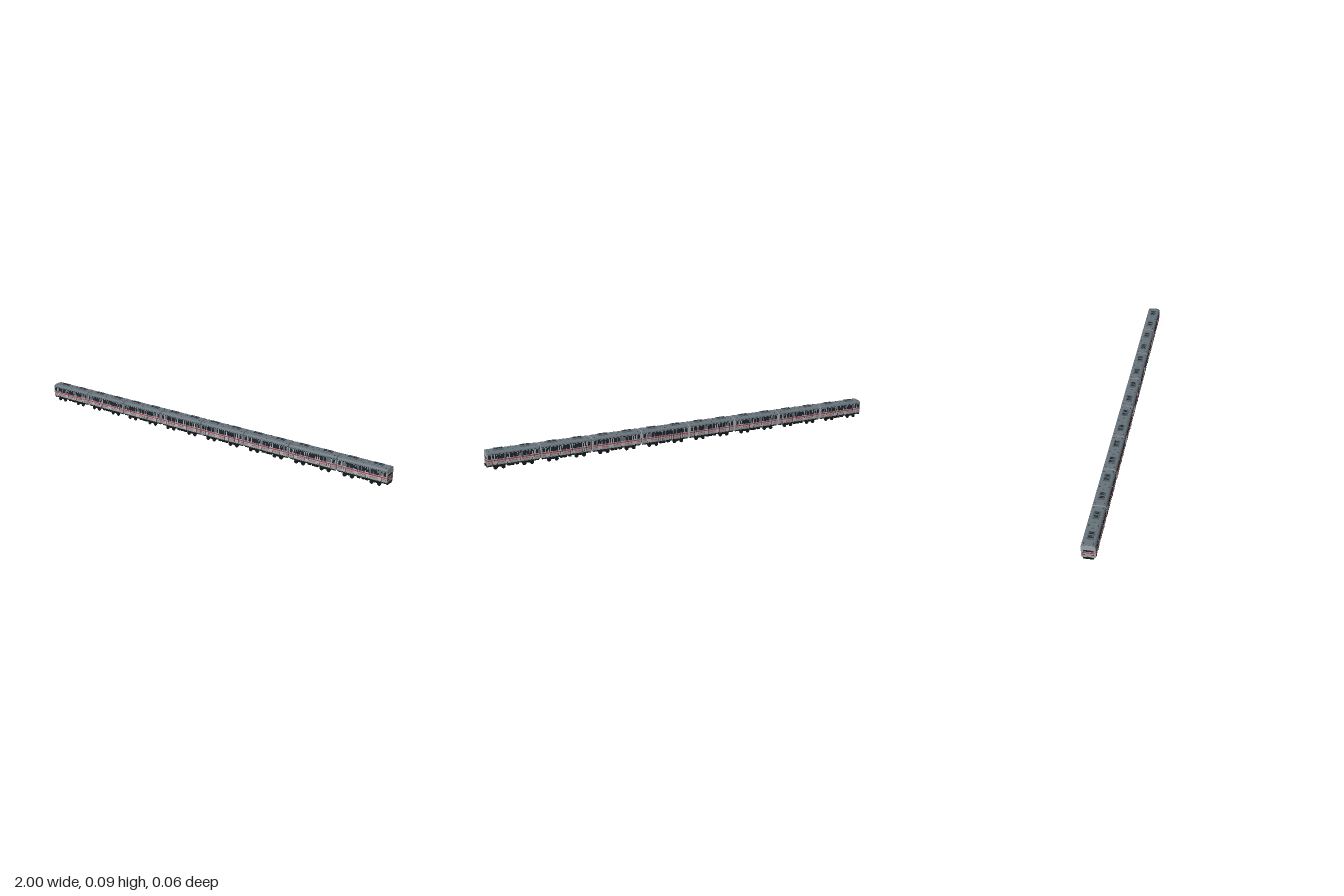
import * as THREE from 'three';

const mat = (color) => new THREE.MeshStandardMaterial({ color });
const M = {
  body: mat(0x9fa5a9), door: mat(0xb4b9bc), roof: mat(0x67727a), unit: mat(0x56616a),
  dark: mat(0x1b2026), glass: mat(0x1c2733), red: mat(0xc03038), under: mat(0x14171a),
};

const PITCH = 0.249, LEN = 0.242, HALF = LEN / 2, W = 0.031;

function add(parent, name, geometry, material, x = 0, y = 0, z = 0) {
  const m = new THREE.Mesh(geometry, material);
  m.name = name;
  m.position.set(x, y, z);
  parent.add(m);
  return m;
}
const box = (p, name, material, w, h, d, x, y, z) =>
  add(p, name, new THREE.BoxGeometry(w, h, d), material, x, y, z);

// Cross-section in (z, y) stretched along x
function prism(p, name, material, points, length) {
  const shape = new THREE.Shape(points.map(([a, b]) => new THREE.Vector2(a, b)));
  const g = new THREE.ExtrudeGeometry(shape, { depth: length, bevelEnabled: false });
  g.translate(0, 0, -length / 2).rotateY(Math.PI / 2);
  return add(p, name, g, material);
}
const mirrored = (half) => [...half, ...half.map(([a, b]) => [-a, b]).reverse()];

const bodyHalf = [[0.027, 0.019], [0.030, 0.022], [W, 0.03], [W, 0.072], [0.029, 0.079], [0.025, 0.083], [0.016, 0.0855]];
const roofOuter = [[0.0316, 0.0745], [0.0296, 0.0797], [0.0253, 0.0838], [0.016, 0.0863]];
const roofInner = [[0.0306, 0.0743], [0.0287, 0.079], [0.0247, 0.0828], [0.0158, 0.0853]];

function buildSide(car, s) {
  const side = new THREE.Group();
  side.name = s > 0 ? 'frontSide' : 'backSide';
  const z = s * W;
  box(side, 'redStripe', M.red, LEN - 0.004, 0.004, 0.001, 0, 0.045, z);
  box(side, 'lowerStripe', M.red, LEN - 0.004, 0.0015, 0.001, 0, 0.036, z);
  box(side, 'sill', M.dark, LEN - 0.004, 0.002, 0.004, 0, 0.022, s * 0.029);
  box(side, 'gutter', M.dark, LEN, 0.0015, 0.0012, 0, 0.0738, z);
  const doors = [-0.087, -0.029, 0.029, 0.087];
  for (const x of doors) {
    box(side, 'doorFrame', M.dark, 0.021, 0.047, 0.001, x, 0.0487, z);
    for (const k of [-1, 1]) {
      box(side, 'doorLeaf', M.door, 0.0092, 0.045, 0.0016, x + k * 0.005, 0.0485, z);
      box(side, 'doorWindow', M.glass, 0.0062, 0.018, 0.0022, x + k * 0.005, 0.061, z);
      box(side, 'doorStripe', M.red, 0.0092, 0.004, 0.002, x + k * 0.005, 0.045, z);
    }
  }
  // Windows between the doors, plus a small one at each end
  for (const x of [-0.058, 0, 0.058]) {
    box(side, 'windowBand', M.dark, 0.033, 0.021, 0.001, x, 0.061, z);
    for (const k of [-1, 1])
      box(side, 'window', M.glass, 0.0148, 0.018, 0.0016, x + k * 0.008, 0.061, z);
    box(side, 'windowPost', M.body, 0.001, 0.021, 0.002, x, 0.061, z);
  }
  for (const x of [-0.1095, 0.1095]) box(side, 'endWindow', M.glass, 0.012, 0.019, 0.0015, x, 0.061, z);
  car.add(side);
}

function buildBogie(car, x0) {
  const bogie = new THREE.Group();
  bogie.name = 'bogie';
  bogie.position.x = x0;
  box(bogie, 'bolster', M.under, 0.018, 0.007, 0.044, 0, 0.0135, 0);
  for (const s of [-1, 1]) box(bogie, 'sideFrame', M.under, 0.056, 0.005, 0.003, 0, 0.012, s * 0.0235);
  for (const x of [-0.018, 0.018]) {
    const axle = add(bogie, 'axle', new THREE.CylinderGeometry(0.002, 0.002, 0.05, 8), M.under, x, 0.0095, 0);
    axle.rotation.x = Math.PI / 2;
    for (const s of [-1, 1]) {
      const wheel = add(bogie, 'wheel', new THREE.CylinderGeometry(0.0095, 0.0095, 0.003, 20), M.under, x, 0.0095, s * 0.0262);
      wheel.rotation.x = Math.PI / 2;
    }
  }
  car.add(bogie);
}

function buildRoof(car) {
  prism(car, 'roof', M.roof, [...mirrored(roofOuter), ...mirrored(roofInner).reverse()], LEN);
  for (const x of [-0.062, 0.062]) {
    // Air-conditioning unit with slatted grilles
    const unit = prism(car, 'airConditioner', M.unit,
      mirrored([[0.0145, 0.0845], [0.0145, 0.0885], [0.012, 0.091]]), 0.046);
    unit.position.x = x;
    for (let i = -2; i <= 2; i++)
      if (i) box(car, 'grille', M.dark, 0.005, 0.0006, 0.019, x + i * 0.0075, 0.0911, 0);
  }
  for (const x of [-0.018, 0.018]) box(car, 'roofVent', M.unit, 0.007, 0.003, 0.008, x, 0.087, 0);
  for (const x of [-0.108, 0, 0.108])
    for (const s of [-1, 1]) box(car, 'roofRib', M.dark, 0.003, 0.001, 0.008, x, 0.0855, s * 0.019);
}

// Driving end, facing +x before rotation
function buildCab(car, dir) {
  const cab = new THREE.Group();
  cab.name = 'cabEnd';
  cab.rotation.y = dir > 0 ? 0 : Math.PI;
  const x = HALF;
  box(cab, 'windscreen', M.glass, 0.002, 0.009, 0.043, x, 0.0565, 0);
  box(cab, 'windscreenHood', M.body, 0.003, 0.001, 0.045, x, 0.0615, 0);
  for (const z of [-0.008, 0.008]) box(cab, 'windscreenPost', M.dark, 0.003, 0.009, 0.001, x, 0.0565, z);
  box(cab, 'endStripe', M.red, 0.002, 0.0035, 0.052, x, 0.045, 0);
  for (const s of [-1, 1]) {
    box(cab, 'lampSurround', M.dark, 0.0016, 0.0055, 0.0105, x, 0.0345, s * 0.0185);
    box(cab, 'lamp', M.red, 0.0026, 0.0035, 0.0085, x, 0.0345, s * 0.0185);
  }
  box(cab, 'bumperSkirt', M.under, 0.008, 0.008, 0.046, x - 0.002, 0.0165, 0);
  box(cab, 'coupler', M.under, 0.014, 0.006, 0.009, x + 0.0005, 0.0205, 0);
  car.add(cab);
}

function buildCar(index, count) {
  const car = new THREE.Group();
  car.name = 'car' + (index + 1);
  prism(car, 'carBody', M.body, mirrored(bodyHalf), LEN);
  buildRoof(car);
  for (const s of [-1, 1]) buildSide(car, s);
  // Underframe and equipment between the bogies
  box(car, 'underframe', M.under, LEN - 0.006, 0.005, 0.05, 0, 0.0175, 0);
  for (const x of [-0.018, 0.004, 0.021])
    for (const s of [-1, 1]) box(car, 'equipmentBox', M.under, 0.014, 0.009, 0.014, x, 0.0125, s * 0.016);
  for (const x of [-0.066, 0.066]) buildBogie(car, x);
  if (index === 0) buildCab(car, -1);
  if (index === count - 1) buildCab(car, 1);
  return car;
}

export function createModel() {
  const train = new THREE.Group();
  train.name = 'train';
  const count = 8;
  for (let i = 0; i < count; i++) {
    const car = buildCar(i, count);
    car.position.x = (i - (count - 1) / 2) * PITCH;
    train.add(car);
  }
  // Gangway bellows and couplings between cars
  for (let i = 1; i < count; i++) {
    const x = (i - count / 2) * PITCH;
    box(train, 'gangway', M.dark, 0.01, 0.05, 0.03, x, 0.05, 0);
    box(train, 'coupling', M.under, 0.014, 0.005, 0.008, x, 0.0185, 0);
  }
  return train;
}
